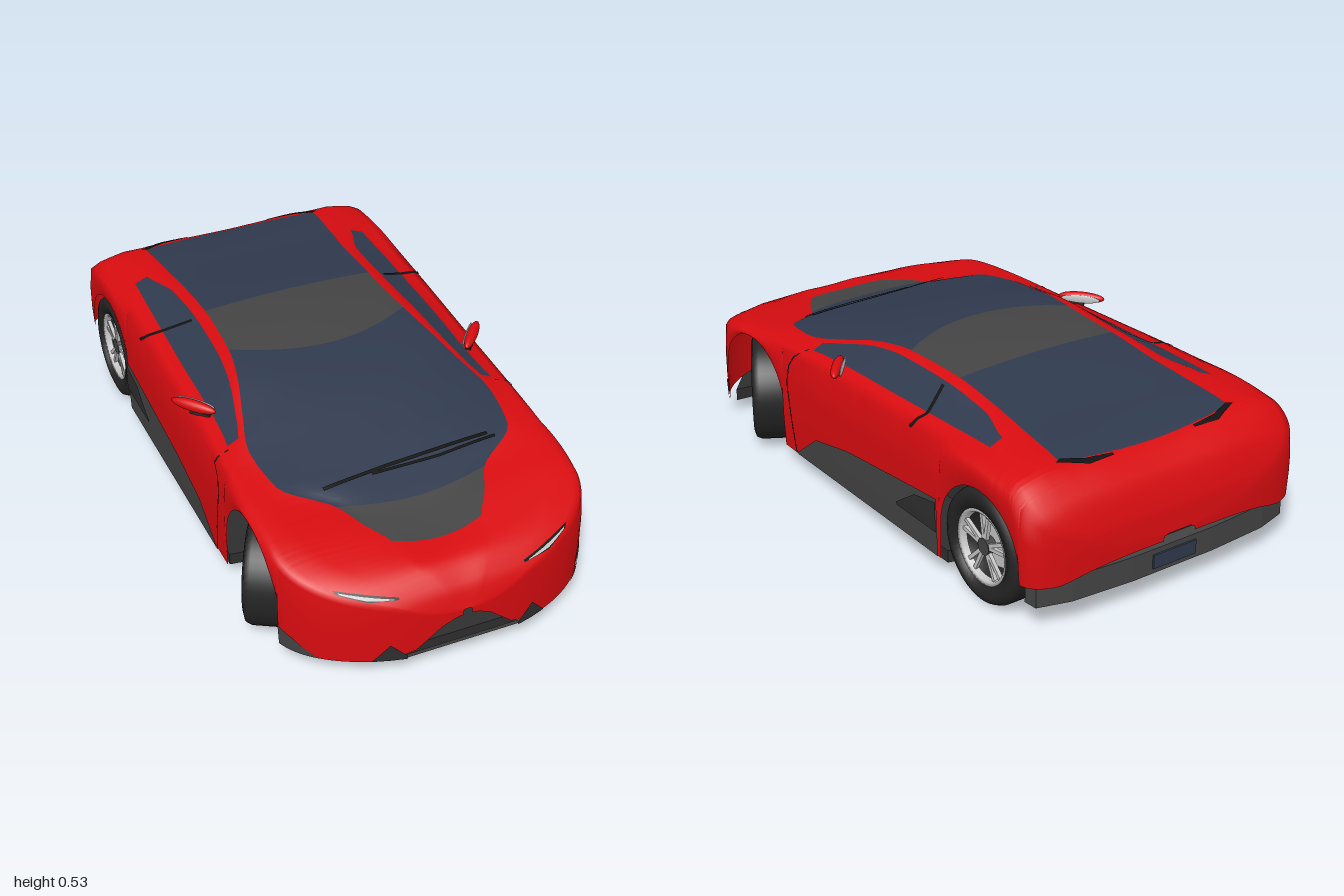
import * as THREE from 'three';

const paint = (name, color) => {
  const m = new THREE.MeshStandardMaterial({ color, side: THREE.DoubleSide });
  m.name = name;
  return m;
};

// Monotone cubic interpolation of one column of a table sorted by falling z
function interp(table, col, z) {
  const last = table.length - 1;
  if (z >= table[0][0]) return table[0][col];
  if (z <= table[last][0]) return table[last][col];
  let i = 0;
  while (table[i + 1][0] > z) i++;
  const slope = k => (k < 0 || k >= last) ? 0
    : (table[k + 1][col] - table[k][col]) / (table[k + 1][0] - table[k][0]);
  const tangent = k => {
    const a = slope(k - 1), b = slope(k);
    if (k === 0) return b;
    if (k === last) return a;
    return a * b > 0 ? 2 * a * b / (a + b) : 0;
  };
  const h = table[i + 1][0] - table[i][0], t = (z - table[i][0]) / h, t2 = t * t, t3 = t2 * t;
  return (2 * t3 - 3 * t2 + 1) * table[i][col] + (t3 - 2 * t2 + t) * h * tangent(i)
    + (3 * t2 - 2 * t3) * table[i + 1][col] + (t3 - t2) * h * tangent(i + 1);
}

// z, then heights of shoulder, window sill, window top, roof rail
const heights = [
  [1, .2, .205, .21, .21], [.97, .25, .262, .27, .275], [.9, .29, .31, .325, .33],
  [.8, .33, .35, .36, .348], [.7, .365, .38, .383, .366], [.62, .378, .393, .395, .378],
  [.5, .39, .405, .41, .41], [.34, .4, .415, .425, .432], [.2, .405, .425, .455, .463],
  [.05, .41, .432, .492, .5], [-.08, .415, .438, .505, .512], [-.32, .425, .445, .5, .508],
  [-.5, .43, .45, .485, .49], [-.65, .435, .452, .47, .475], [-.84, .42, .445, .455, .453],
  [-.94, .35, .375, .385, .39], [-.99, .26, .275, .28, .285], [-1, .2, .205, .21, .21]];
// z, then half widths of window sill, window top, roof rail as shares of the body half width
const widths = [
  [1, .9, .7, .35], [.9, .9, .7, .33], [.8, .92, .75, .3], [.7, .92, .78, .4], [.62, .92, .82, .48],
  [.5, .91, .82, .76], [.34, .9, .84, .8], [.2, .87, .77, .73], [.05, .86, .7, .645], [-.08, .86, .67, .6],
  [-.32, .85, .65, .575], [-.5, .84, .66, .58], [-.65, .83, .74, .6], [-.84, .85, .76, .62], [-1, .85, .75, .6]];
const crown = [[1, .21], [.97, .275], [.9, .328], [.8, .342], [.7, .362], [.62, .385], [.5, .418], [.4, .447],
  [.2, .495], [0, .52], [-.18, .527], [-.39, .512], [-.6, .481], [-.84, .45], [-.94, .392], [-.99, .285], [-1, .21]];
const bow = [[1, 0], [.79, .03], [.62, .04], [.3, .06], [-.08, .1], [-.32, 0], [-.84, -.025], [-1, 0]];
const skirt = [[1, .19], [.985, .09], [.96, .065], [.78, .065], [.3, .055], [-.515, .055], [-.9, .15], [-.97, .15], [-1, .19]];
const arches = [{ z: .575, y: .175, r: .195 }, { z: -.71, y: .175, r: .19 }];

function halfWidth(z) {
  if (z > .72) return .505 * Math.sqrt(Math.max(.0008, 1 - ((z - .72) / .28) ** 2));
  if (z < -.87) return .505 * Math.max(.0008, 1 - ((-.87 - z) / .13) ** 3.3) ** (1 / 3.3);
  return .505;
}

function lowEdge(z) {
  let y = interp(skirt, 1, z);
  for (const a of arches) {
    const d = Math.abs(z - a.z);
    if (d <= a.r + 1e-6) y = a.y + Math.sqrt(Math.max(0, a.r * a.r - d * d));
  }
  return y;
}

// Half cross-section from the skirt to the centre line
const TOP = 6;
function halfSection(z) {
  const w = halfWidth(z), low = lowEdge(z);
  const [sy, by, wy, iy] = [1, 2, 3, 4].map(c => interp(heights, c, z));
  const [bx, wx, ix] = [1, 2, 3].map(c => w * interp(widths, c, z));
  const p = [[w * .99, low], [w, low + (sy - low) * .33], [w, low + (sy - low) * .67], [w * .985, sy],
    [(w * .985 + bx) / 2 + .008 * w, (sy + by) / 2 + .004], [bx, by], [wx, wy]].map(q => [q[0], q[1], z]);
  for (let k = 0; k <= TOP; k++) {
    const u = 1 - k / TOP, f = 1 - u * u;
    const ze = z + interp(bow, 1, z) * f;
    p.push([ix * u, iy + (interp(crown, 1, ze) - iy) * f, ze]);
  }
  return p;
}

function buildBody(group, mats) {
  // Stations: even steps, dense ends, arch curves and panel joints
  const zs = [.79, .62, .27, -.08, -.32, -.65, -.84];
  for (let z = -.86; z < .73; z += .04) zs.push(z);
  for (let k = 0; k <= 20; k++) {
    const s = Math.sin(k / 20 * Math.PI / 2);
    zs.push(.72 + .28 * s, -.87 - .13 * s);
  }
  for (const a of arches) {
    zs.push(a.z + a.r + .001, a.z - a.r - .001);
    for (let k = 0; k <= 24; k++) zs.push(a.z + a.r * Math.cos(k / 24 * Math.PI));
  }
  const rows = zs.sort((a, b) => b - a).filter((z, i) => i === 0 || zs[i - 1] - z > 1e-5);
  const pos = [];
  for (const z of rows) {
    const h = halfSection(z);
    pos.push(...h.flat(), ...h.slice(0, -1).reverse().map(p => [-p[0], p[1], p[2]]).flat());
  }
  const cols = 27, parts = {};
  const partOf = (c, z) => {
    const k = c < 13 ? c : 25 - c;
    if (k === 5) return z < .27 && z > -.65 ? 'sideWindows' : 'bodyShell';
    if (k < 7 || z > .79 || z < -.84) return 'bodyShell';
    return z > .62 ? 'hoodPanel' : z > -.08 ? 'windshield' : z > -.32 ? 'roofPanel' : 'rearWindow';
  };
  const all = [];
  for (let i = 0; i < rows.length - 1; i++) for (let c = 0; c < cols - 1; c++) {
    const a = i * cols + c, b = a + cols, quad = [a, b, a + 1, b, b + 1, a + 1];
    (parts[partOf(c, (rows[i] + rows[i + 1]) / 2)] ??= []).push(...quad);
    all.push(...quad);
  }
  const base = new THREE.BufferGeometry();
  base.setAttribute('position', new THREE.Float32BufferAttribute(pos, 3));
  base.setIndex(all);
  base.computeVertexNormals();
  const colour = { bodyShell: mats.red, hoodPanel: mats.grey, roofPanel: mats.grey };
  return Object.entries(parts).map(([name, index]) => {
    const g = base.clone();
    g.setIndex(index);
    const m = new THREE.Mesh(g, colour[name] ?? mats.glass);
    m.name = name;
    group.add(m);
    return m;
  });
}

export function createModel() {
  const car = new THREE.Group();
  car.name = 'sportsCar';
  const mats = {
    red: paint('red paint', 0xd80c10), glass: paint('navy glass', 0x303a4e), grey: paint('grey panel', 0x444444),
    dark: paint('dark trim', 0x2e2e2e), black: paint('black line', 0x121212), tyre: paint('tyre rubber', 0x242424),
    silver: paint('silver metal', 0xc4c4c4)
  };
  const add = (parent, name, geo, mat, x = 0, y = 0, z = 0) => {
    const m = new THREE.Mesh(geo, mat);
    m.name = name;
    m.position.set(x, y, z);
    parent.add(m);
    return m;
  };
  const shell = buildBody(car, mats);

  // Thin skin between two outlines, laid on the body along one axis
  const ray = new THREE.Raycaster();
  const along = (line, t) => {
    const f = t * (line.length - 1), i = Math.min(Math.floor(f), line.length - 2);
    return line[i].map((v, k) => v + (line[i + 1][k] - v) * (f - i));
  };
  function decal(name, mat, axis, s, upper, lower, lift = .004) {
    const n = 24, m = 3, pos = [], idx = [];
    let lastHit = null;
    const dir = new THREE.Vector3(axis === 'x' ? -s : 0, axis === 'y' ? -1 : 0, axis === 'z' ? -1 : 0);
    for (let i = 0; i <= n; i++) for (let j = 0; j <= m; j++) {
      const a = along(upper, i / n), b = along(lower, i / n), f = j / m;
      const u = a[0] + (b[0] - a[0]) * f, v = a[1] + (b[1] - a[1]) * f;
      const o = axis === 'x' ? [s * 3, v, u] : axis === 'y' ? [s * u, 3, v] : [s * u, v, 3];
      ray.set(new THREE.Vector3(...o), dir);
      const hit = ray.intersectObjects(shell, false)[0];
      if (hit && hit.distance < 2.95) lastHit = hit.distance;
      const p = new THREE.Vector3(...o).addScaledVector(dir, (lastHit ?? 2.5) - lift);
      pos.push(p.x, p.y, p.z);
      if (i < n && j < m) {
        const q = i * (m + 1) + j;
        idx.push(q, q + 1, q + m + 1, q + 1, q + m + 2, q + m + 1);
      }
    }
    const g = new THREE.BufferGeometry();
    g.setAttribute('position', new THREE.Float32BufferAttribute(pos, 3));
    g.setIndex(idx);
    g.computeVertexNormals();
    add(car, name, g, mat);
  }
  const shift = (line, dx, dy) => line.map(p => [p[0] + dx, p[1] + dy]);
  for (const s of [1, -1]) {
    decal('sillPanel', mats.grey, 'x', s, [[.3, .06], [.17, .16], [-.02, .2], [-.4, .24], [-.51, .25]],
      [[.29, .057], [.17, .057], [-.02, .057], [-.4, .057], [-.51, .057]]);
    decal('sideIntake', mats.dark, 'x', s, [[-.3, .15], [-.4, .22], [-.51, .24]], [[-.3, .14], [-.4, .14], [-.51, .14]], .008);
    const door = [[.29, .42], [.335, .36], [.345, .3], [.325, .18], [.305, .06]];
    decal('doorGap', mats.black, 'x', s, door, shift(door, -.006, 0));
    const pillar = [[-.3, .495], [-.35, .445], [-.36, .425]];
    decal('windowPillar', mats.black, 'x', s, pillar, shift(pillar, -.014, 0));
    decal('fenderCorner', mats.grey, 'x', s, [[.774, .14], [.82, .12], [.88, .068]], [[.774, .067], [.82, .067], [.88, .067]]);
    decal('headlight', mats.black, 'z', s, [[.375, .318], [.3, .306], [.2, .288]], [[.37, .31], [.29, .287], [.2, .282]]);
    decal('headlightLamp', mats.silver, 'z', s, [[.365, .314], [.3, .302], [.215, .287]], [[.36, .31], [.29, .292], [.215, .284]], .007);
    decal('frontIntake', mats.dark, 'z', s, [[.28, .07], [.23, .128], [.18, .08]], [[.28, .068], [.23, .068], [.18, .068]]);
    decal('rearDeckVent', mats.black, 'y', s, [[.15, -.868], [.24, -.858], [.31, -.83]], [[.15, -.876], [.24, -.88], [.33, -.84]]);
  }
  decal('frontLip', mats.grey, 'z', 1, [[-.2, .082], [.2, .082]], [[-.2, .068], [.2, .068]]);
  const wiper = [[-.26, .555], [-.05, .535], [.3, .515]];
  decal('wiper', mats.black, 'y', 1, wiper, shift(wiper, 0, .012), .008);
  const wiperArm = [[-.1, .55], [.12, .55], [.32, .53]];
  decal('wiperArm', mats.black, 'y', 1, wiperArm, shift(wiperArm, 0, .01), .008);

  // Underbody: plan shapes raised in y, and a central tunnel from a side profile
  const slab = (name, half, y, h, mat) => {
    const pts = [...half, ...half.slice().reverse().map(p => [-p[0], p[1]])].map(p => new THREE.Vector2(p[0], -p[1]));
    const g = new THREE.ExtrudeGeometry(new THREE.Shape(pts), { depth: h, bevelEnabled: false });
    add(car, name, g.rotateX(-Math.PI / 2), mat, 0, y, 0);
  };
  slab('floor', [[.15, .955], [.28, .93], [.39, .87], [.46, .785], [.27, .77], [.27, .4], [.49, .37], [.49, -.54],
    [.36, -.58]], .046, .04, mats.dark);
  slab('rearBumper', [[.47, -.89], [.465, -.935], [.36, -.965], [.15, -.98]], .08, .08, mats.grey);
  const side = [[.75, .06], [.75, .3], [-.9, .34], [-.94, .15], [-.85, .145], [-.58, .05]];
  const tunnel = new THREE.ExtrudeGeometry(new THREE.Shape(side.map(p => new THREE.Vector2(-p[0], p[1]))),
    { depth: .6, bevelEnabled: false });
  add(car, 'tunnel', tunnel.translate(0, 0, -.3).rotateY(Math.PI / 2), mats.dark);
  add(car, 'rearPlate', new THREE.BoxGeometry(.16, .045, .008), mats.glass, 0, .12, -.982);

  // Wheels, built with the outer face on +x
  const v2 = list => list.map(p => new THREE.Vector2(...p));
  const tyreGeo = new THREE.LatheGeometry(v2([[.115, -.06], [.15, -.07], [.17, -.063], [.178, -.045], [.178, .045],
    [.17, .063], [.15, .07], [.115, .06], [.113, 0], [.115, -.06]]), 48).rotateZ(-Math.PI / 2);
  const rimGeo = new THREE.LatheGeometry(v2([[.1, .04], [.115, .035], [.117, .061], [.106, .058], [.1, .04]]), 48).rotateZ(-Math.PI / 2);
  const disc = (r, h) => new THREE.CylinderGeometry(r, r, h, 32).rotateZ(-Math.PI / 2);
  for (const s of [1, -1]) for (const front of [true, false]) {
    const wheel = new THREE.Group();
    wheel.name = front ? 'frontWheel' : 'rearWheel';
    wheel.position.set(s * .43, .178, front ? .57 : -.71);
    wheel.rotation.y = (s < 0 ? Math.PI : 0) - (front ? Math.PI / 6 : 0);
    add(wheel, 'tyre', tyreGeo, mats.tyre);
    add(wheel, 'rim', rimGeo, mats.silver);
    add(wheel, 'brakeDisc', disc(.078, .012), mats.silver);
    add(wheel, 'hub', disc(.026, .03), mats.grey, .04);
    for (let k = 0; k < 10; k++) {
      const spoke = add(wheel, 'spoke', new THREE.BoxGeometry(.012, .085, .012).translate(0, .064, 0), mats.silver, .046);
      spoke.rotation.x = Math.floor(k / 2) * Math.PI * .4 + (k % 2 ? .16 : -.16);
    }
    const caliper = add(wheel, 'brakeCaliper', new THREE.TorusGeometry(.08, .018, 8, 12, 1.1).rotateY(Math.PI / 2), mats.red, .004);
    caliper.rotation.x = s > 0 ? -.3 : Math.PI - .8;
    car.add(wheel);
  }

  // Door mirrors: blade, glass and stalk
  for (const s of [1, -1]) {
    const mirror = new THREE.Group();
    mirror.name = 'doorMirror';
    mirror.position.set(s * .48, .447, .07);
    mirror.rotation.y = s * .87;
    add(mirror, 'mirrorShell', new THREE.SphereGeometry(1, 24, 14).scale(.078, .019, .018), mats.red);
    add(mirror, 'mirrorGlass', new THREE.SphereGeometry(1, 24, 14).scale(.066, .014, .004), mats.silver, 0, 0, -.017);
    add(mirror, 'mirrorStalk', new THREE.BoxGeometry(.07, .012, .018), mats.dark, -s * .025, -.02, 0);
    car.add(mirror);
  }
  return car;
}
